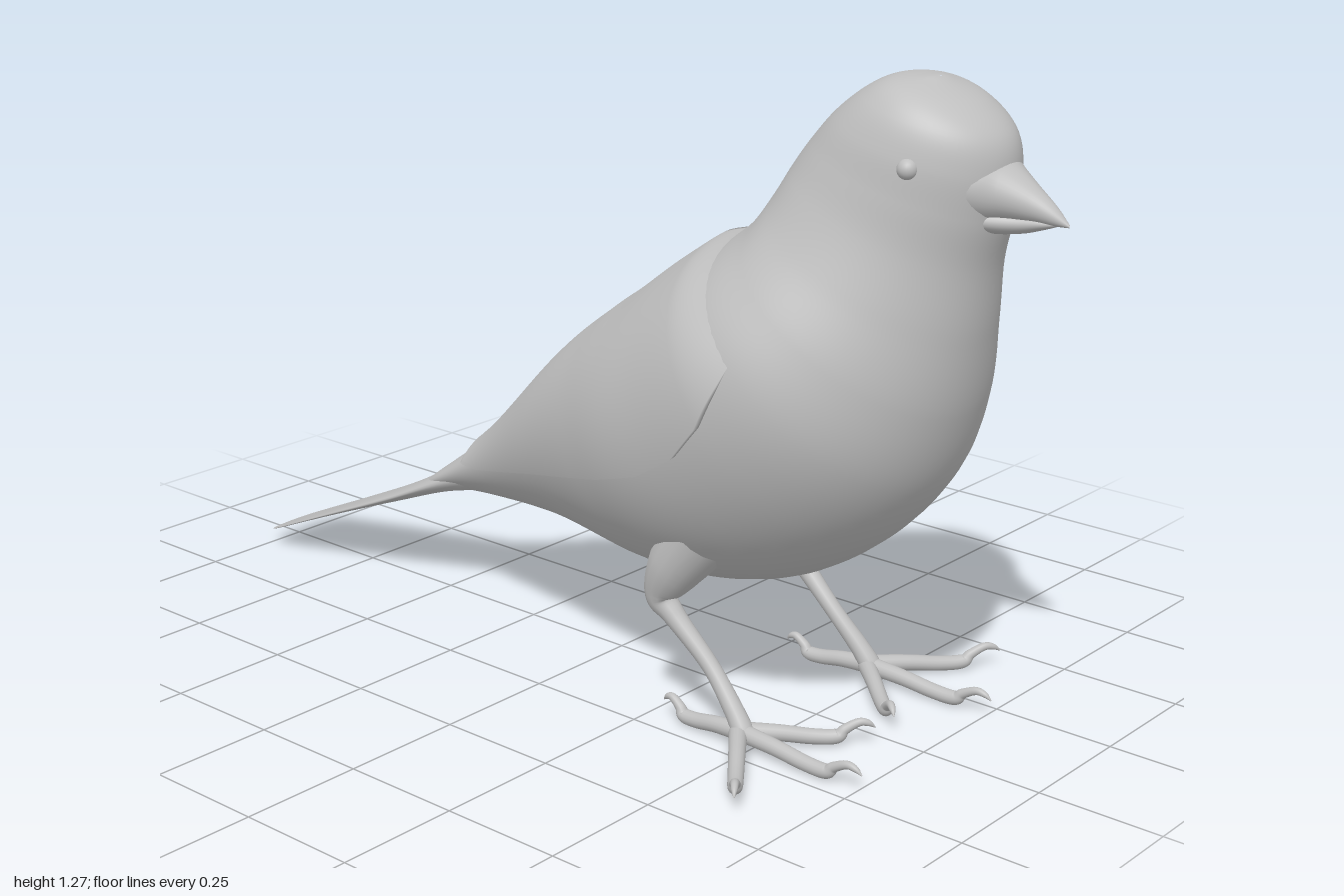
import * as THREE from 'three';
import { ParametricGeometry } from 'three/addons/geometries/ParametricGeometry.js';

const TAU = Math.PI * 2;
const { lerp, clamp, smoothstep } = THREE.MathUtils;

// Smooth interpolation through rows of numbers, t counted in rows
function rowAt(rows, t) {
  const last = rows.length - 1;
  const i = clamp(Math.floor(t), 0, last - 1), f = t - i;
  const a = rows[Math.max(i - 1, 0)], b = rows[i], c = rows[i + 1], d = rows[Math.min(i + 2, last)];
  return b.map((_, k) => {
    const m0 = (c[k] - a[k]) / 2, m1 = (d[k] - b[k]) / 2;
    return (2 * f ** 3 - 3 * f * f + 1) * b[k] + (f ** 3 - 2 * f * f + f) * m0
      + (3 * f * f - 2 * f ** 3) * c[k] + (f ** 3 - f * f) * m1;
  });
}

// Body cross-sections: back z, back y, front z, front y, half width
const BODY = [
  [-0.60, 0.207, -0.60, 0.203, 0.02],
  [-0.47, 0.300, -0.47, 0.247, 0.08],
  [-0.29, 0.440, -0.33, 0.262, 0.11],
  [-0.07, 0.655, -0.10, 0.270, 0.195],
  [0.06, 0.755, 0.15, 0.246, 0.265],
  [0.14, 0.810, 0.33, 0.255, 0.305],
  [0.22, 0.870, 0.50, 0.305, 0.325],
  [0.30, 0.925, 0.65, 0.405, 0.332],
  [0.36, 0.965, 0.755, 0.530, 0.318],
  [0.405, 1.005, 0.81, 0.675, 0.275],
  [0.435, 1.055, 0.835, 0.825, 0.222],
  [0.465, 1.110, 0.85, 0.950, 0.185],
  [0.50, 1.160, 0.873, 1.040, 0.165],
  [0.545, 1.210, 0.885, 1.120, 0.150],
  [0.60, 1.253, 0.872, 1.185, 0.127],
  [0.65, 1.276, 0.82, 1.235, 0.090],
  [0.71, 1.279, 0.75, 1.270, 0.030],
  [0.73, 1.278, 0.732, 1.277, 0.002],
];

// Point on the body; angle 0 is the back, PI the breast; lift pushes outward
function bodyPoint(t, angle, target, lift = 0) {
  const [bz, by, fz, fy, w] = rowAt(BODY, t);
  const c = Math.cos(angle), s = Math.sin(angle);
  const k = c + 0.12 * s * s;
  const hz = (bz - fz) / 2, hy = (by - fy) / 2;
  target.set(w * s, (by + fy) / 2 + hy * k, (bz + fz) / 2 + hz * k);
  if (lift) {
    const h = Math.hypot(hz, hy);
    target.x += lift * s;
    target.y += lift * c * hy / h;
    target.z += lift * c * hz / h;
  }
  return target;
}

// Lower wing edge as z, y
const WING_EDGE = [[-0.45, 0.33], [-0.39, 0.345], [-0.29, 0.36], [-0.07, 0.425], [0.2, 0.5],
  [0.32, 0.54], [0.41, 0.595], [0.47, 0.665], [0.51, 0.75], [0.6, 0.98]];
function edgeY(z) {
  let i = 0;
  while (i < WING_EDGE.length - 2 && z > WING_EDGE[i + 1][0]) i++;
  const [a, b] = [WING_EDGE[i], WING_EDGE[i + 1]];
  return lerp(a[1], b[1], (z - a[0]) / (b[0] - a[0]));
}

// Folded wing: a raised shell over the body that fades into the shoulder
function wingGeometry() {
  const p = new THREE.Vector3();
  return new ParametricGeometry((u, v, target) => {
    const t = lerp(1.55, 8.6, u);
    const w = rowAt(BODY, t)[4];
    const top = Math.asin(Math.min(0.8, lerp(0.065, 0.048, Math.min(1, u * 3)) / w));
    let lo = top, hi = 2.6;
    for (let i = 0; i < 24; i++) {
      const mid = (lo + hi) / 2;
      bodyPoint(t, mid, p);
      if (p.y > edgeY(p.z)) lo = mid; else hi = mid;
    }
    const rim = Math.min(1, v / 0.05, (1 - v) / 0.05, u / 0.03);
    const fade = 1 - smoothstep(u, 0.78, 1);
    bodyPoint(t, lerp(top, lo, clamp((v - 0.05) / 0.9, 0, 1)), target, -0.01 + 0.027 * rim * fade);
  }, 90, 40);
}

// Elliptic loft along z; rows are z, centre y, half height, half width
function loftZ(rows, slices = 40) {
  return new ParametricGeometry((u, v, target) => {
    const [z, y, ry, rx] = rowAt(rows, u * (rows.length - 1));
    target.set(rx * Math.sin(v * TAU), y + ry * Math.cos(v * TAU), z);
  }, slices, 32);
}

// Tapered limb; rows are x, y, z, radius; ref is an axis across the limb
function limb(rows, ref) {
  const n = rows.length - 1;
  const tan = new THREE.Vector3(), nor = new THREE.Vector3(), bin = new THREE.Vector3();
  return new ParametricGeometry((u, v, target) => {
    const t = u * n;
    const [x, y, z, r] = rowAt(rows, t);
    const a = rowAt(rows, Math.max(0, t - 0.02)), b = rowAt(rows, Math.min(n, t + 0.02));
    tan.set(b[0] - a[0], b[1] - a[1], b[2] - a[2]).normalize();
    bin.crossVectors(tan, ref).normalize();
    nor.crossVectors(bin, tan);
    target.set(x, y, z)
      .addScaledVector(nor, r * Math.cos(v * TAU))
      .addScaledVector(bin, -r * Math.sin(v * TAU));
  }, n * 8, 16);
}

// Mirrored copy across x with the face order restored
function mirrored(geometry) {
  const g = geometry.clone().scale(-1, 1, 1);
  const idx = g.index.array;
  for (let i = 0; i < idx.length; i += 3) [idx[i], idx[i + 1]] = [idx[i + 1], idx[i]];
  return g;
}

export function createModel() {
  const model = new THREE.Group();
  model.name = 'bird';
  const grey = new THREE.MeshStandardMaterial({ color: 0xbfbfbf });
  grey.name = 'plain grey';

  const add = (name, geometry) => {
    const mesh = new THREE.Mesh(geometry, grey);
    mesh.name = name;
    model.add(mesh);
  };
  const addPair = (name, geometry) => {
    add(name + 'Left', geometry);
    add(name + 'Right', mirrored(geometry));
  };

  // Body and head in one smooth skin
  add('body', new ParametricGeometry(
    (u, v, target) => bodyPoint(u * (BODY.length - 1), v * TAU, target), 130, 64));

  // Flat tail with a rounded end
  add('tail', loftZ([
    [-1, 0.037, 0.001, 0.002], [-0.999, 0.038, 0.003, 0.06], [-0.985, 0.043, 0.004, 0.09],
    [-0.94, 0.062, 0.005, 0.103], [-0.8, 0.122, 0.008, 0.102], [-0.6, 0.207, 0.016, 0.095],
    [-0.45, 0.275, 0.03, 0.087], [-0.3, 0.335, 0.06, 0.075],
  ], 64));

  // Beak halves meeting at the mouth line
  add('upperBeak', loftZ([
    [0.77, 1.105, 0.085, 0.12], [0.84, 1.105, 0.07, 0.09], [0.885, 1.095, 0.05, 0.056],
    [0.93, 1.081, 0.032, 0.032], [0.97, 1.066, 0.017, 0.016], [1, 1.052, 0.002, 0.002],
  ]));
  add('lowerBeak', loftZ([
    [0.8, 1.05, 0.03, 0.07], [0.86, 1.046, 0.026, 0.052], [0.91, 1.046, 0.019, 0.03],
    [0.95, 1.05, 0.011, 0.017], [0.985, 1.053, 0.001, 0.002],
  ]));

  // Eyes
  const eyeAt = bodyPoint(12.8, 1.97, new THREE.Vector3());
  addPair('eye', new THREE.SphereGeometry(0.019, 24, 16).translate(eyeAt.x - 0.007, eyeAt.y, eyeAt.z));

  addPair('wing', wingGeometry());

  // Legs
  const acrossX = new THREE.Vector3(1, 0, 0), up = new THREE.Vector3(0, 1, 0);
  addPair('leg', limb([
    [0.175, 0.39, 0.35, 0.07], [0.19, 0.315, 0.3, 0.055], [0.198, 0.255, 0.277, 0.034],
    [0.197, 0.22, 0.305, 0.022], [0.192, 0.14, 0.39, 0.017], [0.2, 0.07, 0.455, 0.019],
    [0.205, 0.03, 0.485, 0.02], [0.205, 0.022, 0.495, 0.002],
  ], acrossX));

  // Toes with hooked claws: distance along, height, radius
  const toeProfile = [[0, 0.034, 0.018], [0.3, 0.029, 0.016], [0.55, 0.021, 0.015], [0.72, 0.021, 0.014],
    [0.78, 0.035, 0.01], [0.88, 0.049, 0.008], [0.95, 0.047, 0.006], [1, 0.038, 0.001]];
  const toes = { outer: [0.43, 0.64], middle: [0.212, 0.76], inner: [0.03, 0.66], hind: [0.195, 0.28] };
  for (const [name, [x, z]] of Object.entries(toes)) {
    addPair(name + 'Toe', limb(
      toeProfile.map(([d, y, r]) => [lerp(0.205, x, d), y, lerp(0.47, z, d), r]), up));
  }
  return model;
}
